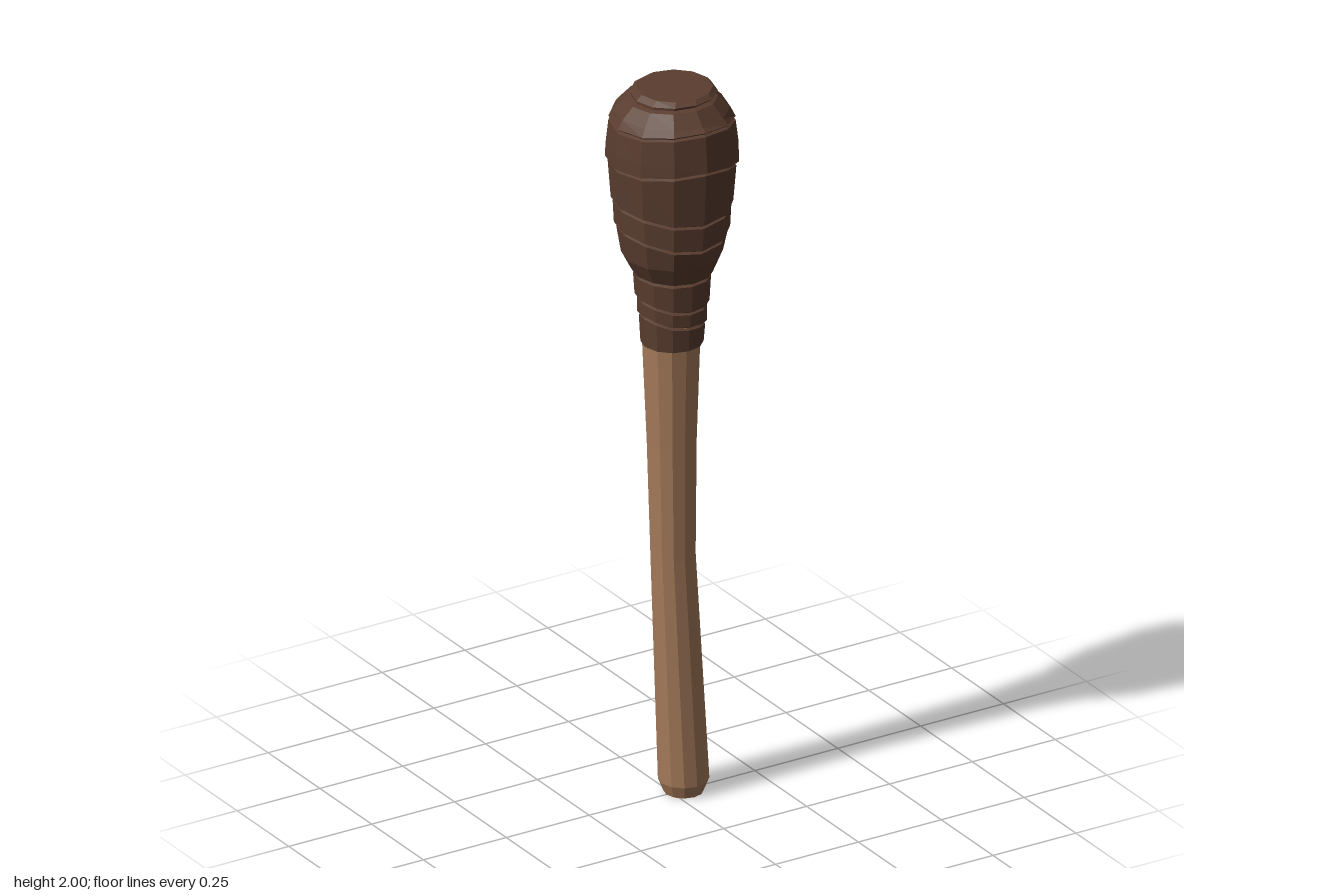
import * as THREE from 'three';

const SIDES = 12;

// Skin a stack of rings (bottom to top) with flat facets and cap both ends.
// ring: r = radius, x / z = centre, y = one height or heights at [+x, +z, -x, -z]
function loft(rings, color, name) {
  const point = (ring, i) => {
    const a = (i / SIDES) * Math.PI * 2, c = Math.cos(a), s = Math.sin(a);
    const h = Array.isArray(ring.y) ? ring.y : [ring.y, ring.y, ring.y, ring.y];
    const y = c * c * (c > 0 ? h[0] : h[2]) + s * s * (s > 0 ? h[1] : h[3]);
    return [(ring.x || 0) + ring.r * c, y, (ring.z || 0) + ring.r * s];
  };
  const centre = (ring) => {
    const y = Array.isArray(ring.y) ? (ring.y[0] + ring.y[1] + ring.y[2] + ring.y[3]) / 4 : ring.y;
    return [ring.x || 0, y, ring.z || 0];
  };
  const pos = [];
  const tri = (a, b, c) => pos.push(...a, ...b, ...c);
  const first = rings[0], last = rings[rings.length - 1];
  for (let i = 0; i < SIDES; i++) {
    for (let k = 0; k < rings.length - 1; k++) {
      const b0 = point(rings[k], i), b1 = point(rings[k], i + 1);
      const t0 = point(rings[k + 1], i), t1 = point(rings[k + 1], i + 1);
      tri(b0, t0, t1);
      tri(b0, t1, b1);
    }
    tri(centre(first), point(first, i), point(first, i + 1));
    tri(centre(last), point(last, i + 1), point(last, i));
  }
  const geo = new THREE.BufferGeometry();
  geo.setAttribute('position', new THREE.Float32BufferAttribute(pos, 3));
  geo.computeVertexNormals();
  const mesh = new THREE.Mesh(geo, new THREE.MeshStandardMaterial({ color, flatShading: true }));
  mesh.name = name;
  return mesh;
}

export function createModel() {
  const group = new THREE.Group();
  group.name = 'torch';

  // Slightly bent wooden handle with a bevelled foot
  group.add(loft([
    { y: 0, r: 0.052, x: 0.035 },
    { y: 0.035, r: 0.066, x: 0.035 },
    { y: 0.68, r: 0.058, x: 0.003 },
    { y: 1.0, r: 0.064, x: -0.001 },
    { y: 1.35, r: 0.077, x: -0.003 },
  ], 0xa67b5b, 'handle'));

  // Cloth bands: uneven lower edge, lower radius, upper radius, optional bulge rings
  const bands = [
    { edge: [1.28, 1.285, 1.285, 1.28], low: 0.081, high: 0.085 },
    { edge: [1.325, 1.345, 1.365, 1.34], low: 0.09, high: 0.09 },
    { edge: [1.385, 1.39, 1.41, 1.405], low: 0.096, high: 0.1 },
    { edge: [1.465, 1.475, 1.48, 1.475], low: 0.105, high: 0.143, bulge: [{ y: 1.54, r: 0.131 }] },
    { edge: [1.6, 1.585, 1.615, 1.6], low: 0.149, high: 0.152 },
    { edge: [1.67, 1.66, 1.685, 1.675], low: 0.157, high: 0.165 },
    { edge: [1.765, 1.815, 1.8, 1.8], low: 0.172, high: 0.163, bulge: [{ y: 1.85, r: 0.17 }] },
    { edge: [1.9, 1.925, 1.91, 1.92], low: 0.163, high: 0.118, bulge: [{ y: 1.945, r: 0.149 }] },
    { edge: [1.975, 1.98, 1.975, 1.98], low: 0.113, high: 0.099, x: 0.008, z: -0.004 },
  ];
  const rings = [{ y: 1.285, r: 0.06 }];
  bands.forEach((band, i) => {
    const up = (d) => band.edge.map((y) => y + d);
    const prev = bands[i - 1];
    // Tucked groove below each band's lip
    if (prev) {
      rings.push({ y: band.edge, r: prev.high });
      rings.push({ y: up(0.004), r: Math.min(prev.high, band.low) - 0.009 });
    }
    rings.push({ y: up(prev ? 0.011 : 0), r: band.low, x: band.x, z: band.z });
    rings.push(...(band.bulge || []));
  });
  rings.push({ y: 2, r: 0.099, x: 0.01, z: -0.004 });
  group.add(loft(rings, 0x5a3d2f, 'wrappedHead'));

  return group;
}
